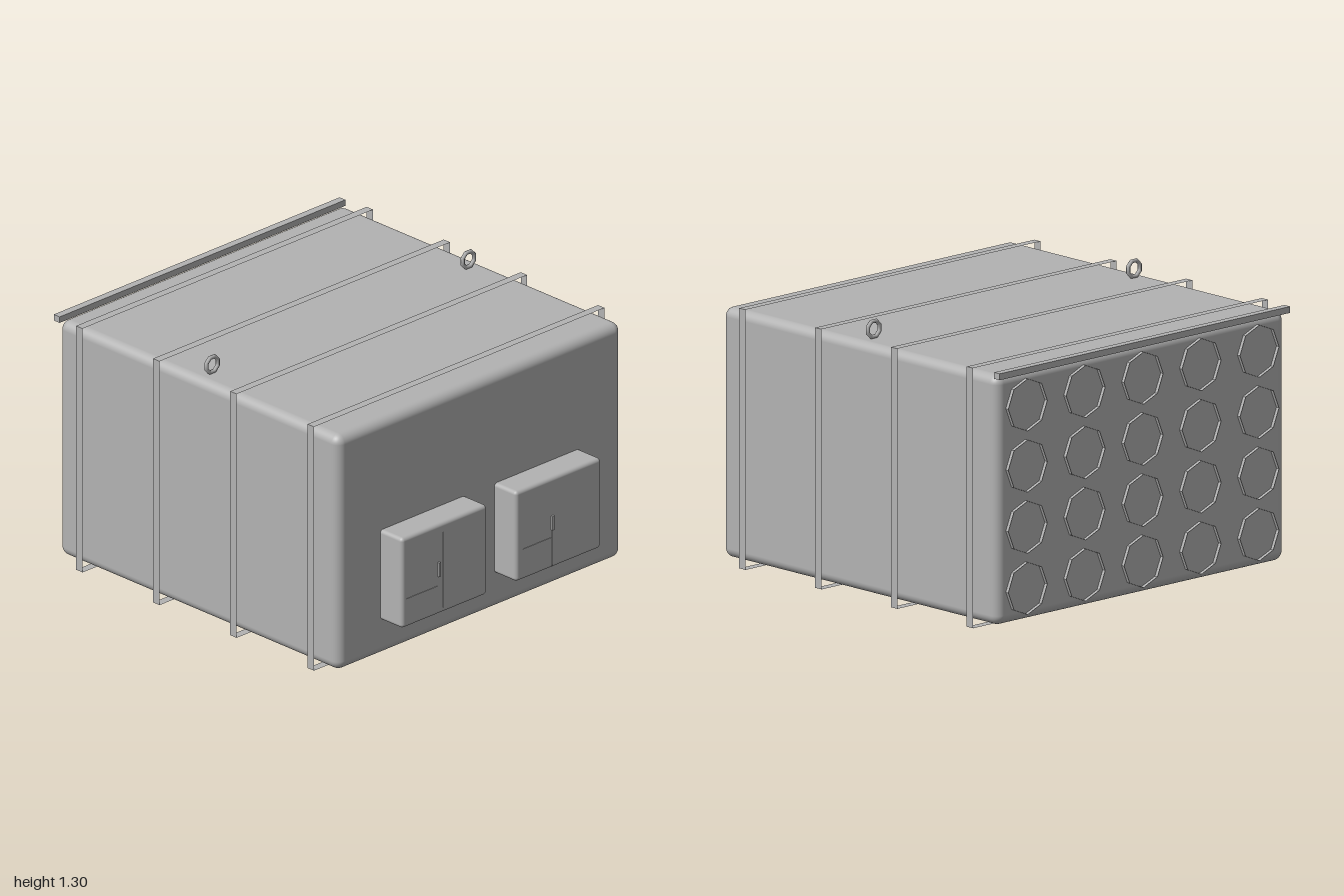
import * as THREE from 'three';
import { RoundedBoxGeometry } from 'three/addons/geometries/RoundedBoxGeometry.js';

export function createModel() {
  const model = new THREE.Group();
  const grey = new THREE.MeshStandardMaterial({ color: 0xb2b2b2, side: THREE.DoubleSide });
  grey.name = 'grey';

  const add = (name, geometry, x, y, z) => {
    const mesh = new THREE.Mesh(geometry, grey);
    mesh.name = name;
    mesh.position.set(x, y, z);
    model.add(mesh);
    return mesh;
  };

  // Main rounded casing
  add('casing', new RoundedBoxGeometry(1.82, 1.178, 1.822, 4, 0.045), 0, 0.616, -0.064);

  // Open bands wrapped around the casing: a box without its front and back faces
  const band = new THREE.BoxGeometry(1.86, 1.225, 0.042);
  band.setIndex(Array.from(band.index.array.slice(0, 24)));
  band.clearGroups();
  for (const z of [0.69, 0.186, -0.316, -0.818]) add('strap', band, 0, 0.6125, z);

  // Rail along the top back edge
  add('backRail', new THREE.BoxGeometry(1.83, 0.03, 0.038), 0, 1.21, -0.981);

  // Lifting eyes
  const eye = new THREE.TorusGeometry(0.039, 0.01, 8, 8);
  eye.rotateZ(Math.PI / 8);
  for (const side of [-1, 1]) add('liftingEye', eye, side * 0.82, 1.25, -0.065);

  // Front boxes with their small handles
  const box = new RoundedBoxGeometry(0.545, 0.452, 0.155, 3, 0.018);
  const handle = new THREE.BoxGeometry(0.012, 0.07, 0.02);
  for (const [x, handleX] of [[-0.3675, -0.408], [0.3625, 0.32]]) {
    add('frontBox', box, x, 0.432, 0.912);
    add('handle', handle, handleX, 0.434, 0.99);
  }

  // Hair-thin seams on the front boxes
  const seam = (w, h, x, y) => add('seam', new THREE.BoxGeometry(w, h, 0.004), x, y, 0.99);
  seam(0.2, 0.002, -0.51, 0.35);
  seam(0.002, 0.38, -0.376, 0.42);
  seam(0.18, 0.002, 0.225, 0.36);
  seam(0.002, 0.2, 0.32, 0.315);

  // Grid of shallow octagonal collars on the back
  const collar = new THREE.CylinderGeometry(0.123, 0.123, 0.03, 8, 1, true).toNonIndexed();
  collar.rotateX(Math.PI / 2);
  collar.computeVertexNormals();
  for (let col = -2; col <= 2; col++)
    for (let row = 0; row < 4; row++)
      add('portCollar', collar, col * 0.365, 0.181 + row * 0.288, -0.977);

  return model;
}
